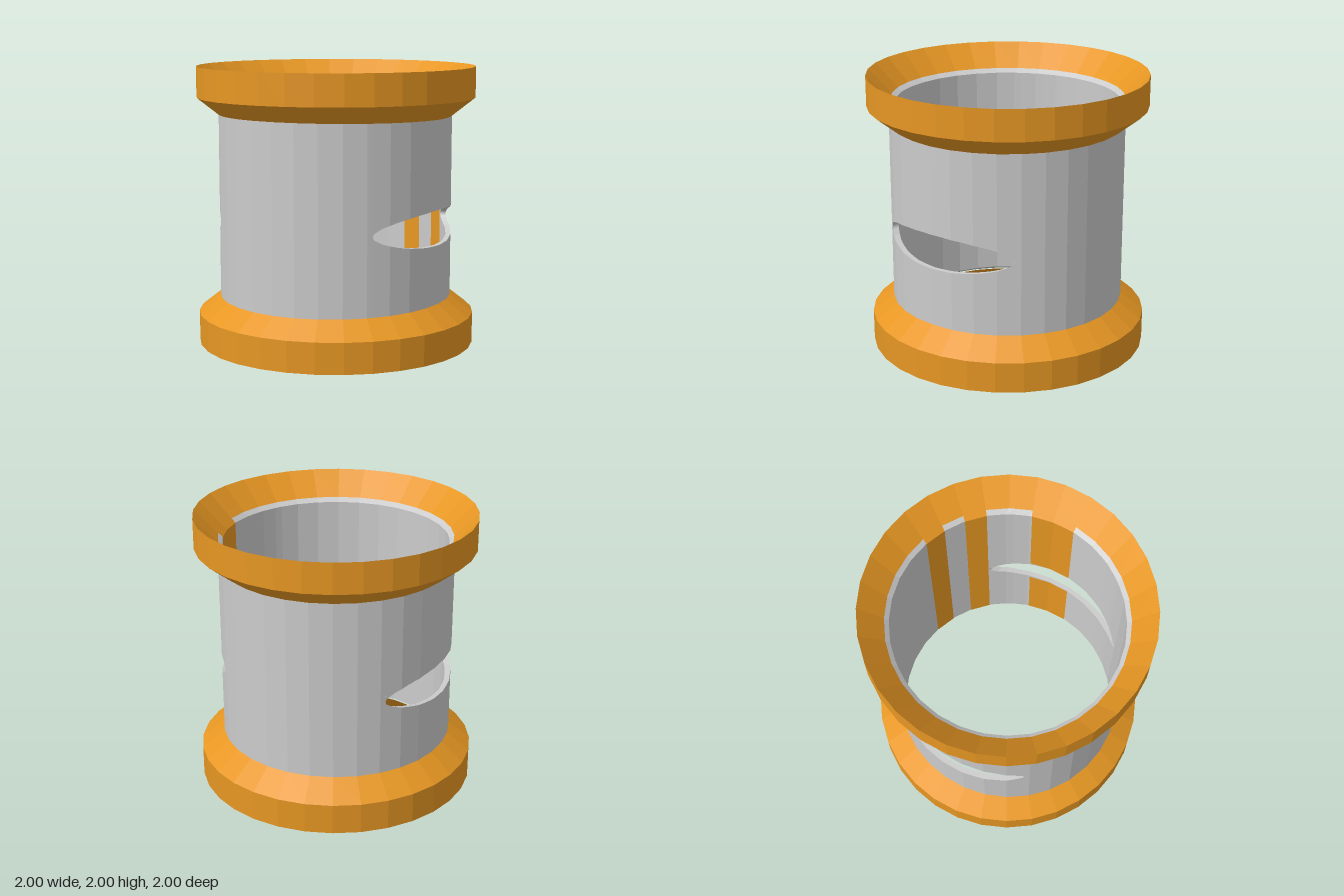
import * as THREE from 'three';

const SIDES = 32, SEG = (2 * Math.PI) / SIDES;
const R_IN = 0.8, R_OUT = 0.835;          // sleeve wall
const MID = 0.895, HALF_H = 0.125, HALF_W = 0.56; // side slots

const grey = new THREE.MeshStandardMaterial({ color: 0xcccccc, flatShading: true });
const amber = new THREE.MeshStandardMaterial({ color: 0xe79723, flatShading: true });

function named(name, geometry, material) {
  const mesh = new THREE.Mesh(geometry, material);
  mesh.name = name;
  return mesh;
}

function lathe(points, segments = SIDES, start = 0, length = 2 * Math.PI) {
  return new THREE.LatheGeometry(points.map(([r, y]) => new THREE.Vector2(r, y)), segments, start, length);
}

// point on the faceted ring, on the +x side, at a given z
function onRing(r, z) {
  const k = Math.floor(Math.asin(Math.abs(z) / r) / SEG + 1e-6);
  const z0 = r * Math.sin(k * SEG), z1 = r * Math.sin((k + 1) * SEG);
  const t = (Math.abs(z) - z0) / (z1 - z0);
  return [r * THREE.MathUtils.lerp(Math.cos(k * SEG), Math.cos((k + 1) * SEG), t), z];
}

// wall columns from the front, round the +x side, to the back
function wallColumns() {
  const solid = i => ({
    out: [R_OUT * Math.sin(i * SEG), R_OUT * Math.cos(i * SEG)],
    inn: [R_IN * Math.sin(i * SEG), R_IN * Math.cos(i * SEG)], h: 0
  });
  const zs = [HALF_W, 0.5585, 0.555];
  for (let d = 11; d >= 0; d--) zs.push(R_OUT * Math.sin((d * SEG) / 3));
  const slotZ = [...zs, ...zs.slice(0, -1).reverse().map(z => -z)];
  const slot = slotZ.map(z => ({
    out: onRing(R_OUT, z), inn: onRing(R_IN, z),
    h: HALF_H * Math.sqrt(Math.max(0, 1 - (z / HALF_W) ** 2))
  }));
  return [...[0, 1, 2, 3, 4].map(solid), ...slot, ...[12, 13, 14, 15, 16].map(solid)];
}

// hollow sleeve with an elliptical slot cut through each side
function sleeveGeometry() {
  const pos = [];
  const cols = wallColumns();
  for (const s of [1, -1]) {
    const quad = (...c) => {
      for (const i of [0, 1, 2, 0, 2, 3]) {
        const [[x, z], y] = c[i];
        pos.push(s * x, y, s * z);
      }
    };
    // ledge between outer and inner wall, facing up or down
    const ledge = (a, b, ya, yb, drop, up) => {
      const c = [[a.out, ya], [b.out, yb], [b.inn, yb - drop], [a.inn, ya - drop]];
      quad(...(up ? c : c.reverse()));
    };
    const walls = (a, b, lo, hi) => { // lo, hi: [outer a, outer b, inner a, inner b]
      quad([a.out, lo[0]], [b.out, lo[1]], [b.out, hi[1]], [a.out, hi[0]]);
      quad([b.inn, lo[3]], [a.inn, lo[2]], [a.inn, hi[2]], [b.inn, hi[3]]);
    };
    const bottom = [0.17, 0.17, 0.2, 0.2], top = [1.83, 1.83, 1.8, 1.8];
    for (let i = 0; i < cols.length - 1; i++) {
      const a = cols[i], b = cols[i + 1];
      ledge(a, b, 1.83, 1.83, 0.03, true);
      ledge(a, b, 0.17, 0.17, -0.03, false);
      if (a.h + b.h < 1e-6) {
        walls(a, b, bottom, top);
      } else {
        const lip = k => [MID + k * a.h, MID + k * b.h, MID + k * a.h, MID + k * b.h];
        walls(a, b, bottom, lip(-1));
        walls(a, b, lip(1), top);
        ledge(a, b, MID - a.h, MID - b.h, 0, true);
        ledge(a, b, MID + a.h, MID + b.h, 0, false);
      }
    }
  }
  // the outer skin is slightly fuller at the front
  for (let i = 0; i < pos.length; i += 3) {
    const r = Math.hypot(pos[i], pos[i + 2]);
    if (r > 0.82 && pos[i + 2] > 0) {
      const k = 1 + 0.018 * (pos[i + 2] / r);
      pos[i] *= k;
      pos[i + 2] *= k;
    }
  }
  const g = new THREE.BufferGeometry();
  g.setAttribute('position', new THREE.Float32BufferAttribute(pos, 3));
  g.computeVertexNormals();
  return g;
}

export function createModel() {
  const model = new THREE.Group();
  model.name = 'flangedSleeve';
  model.add(named('sleeve', sleeveGeometry(), grey));

  // flared end flanges, knife-edged at the outer rim
  const rim = [[0.83, 1.646], [1, 1.78], [1, 2], [0.83, 1.83]];
  model.add(named('topFlange', lathe(rim), amber));
  model.add(named('bottomFlange', lathe(rim.map(([r, y]) => [r, 2 - y]).reverse()), amber));

  // coloured facets on the inner wall
  const r = R_IN - 0.002;
  const upper = [[0.83, 1.833], [r, 1.801]], lower = [[r, 0.199], [0.83, 0.167]];
  const strips = new THREE.Group();
  strips.name = 'innerStrips';
  for (const i of [12, 14]) {
    strips.add(named('innerStrip', lathe([...upper, ...lower], 1, i * SEG, SEG), amber));
  }
  // this strip is interrupted by the slot
  strips.add(named('innerStripUpper', lathe([...upper, [r, MID + HALF_H]], 2, 8 * SEG, 2 * SEG), amber));
  strips.add(named('innerStripLower', lathe([[r, MID - HALF_H], ...lower], 2, 8 * SEG, 2 * SEG), amber));
  model.add(strips);
  return model;
}
